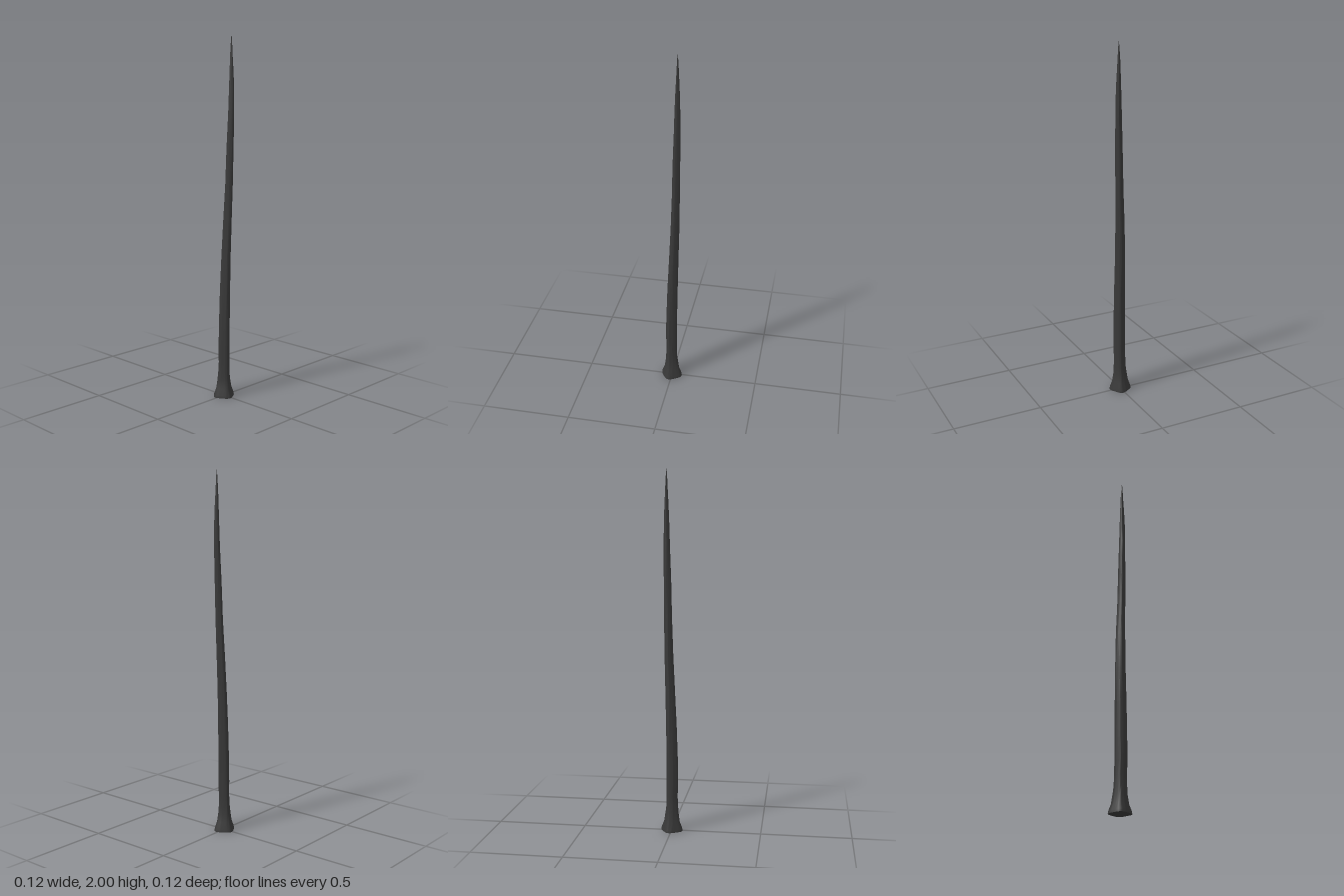
import * as THREE from 'three';
import { toCreasedNormals } from 'three/addons/utils/BufferGeometryUtils.js';

// Cross-sections from foot to tip: height, min x, max x, min z, max z
const SECTIONS = [
  [0, -0.063, 0.06, -0.061, 0.061],
  [0.015, -0.061, 0.058, -0.059, 0.059],
  [0.05, -0.047, 0.044, -0.046, 0.046],
  [0.1, -0.04, 0.036, -0.038, 0.038],
  [0.14, -0.037, 0.031, -0.033, 0.036],
  [0.2, -0.034, 0.03, -0.03, 0.035],
  [0.28, -0.037, 0.03, -0.029, 0.038],
  [0.4, -0.035, 0.03, -0.028, 0.037],
  [0.6, -0.028, 0.033, -0.026, 0.036],
  [0.8, -0.018, 0.037, -0.022, 0.034],
  [1.0, -0.008, 0.042, -0.016, 0.035],
  [1.2, 0.0, 0.045, -0.006, 0.038],
  [1.4, 0.005, 0.047, 0.0, 0.04],
  [1.6, 0.013, 0.048, 0.007, 0.042],
  [1.7, 0.016, 0.047, 0.01, 0.041],
  [1.8, 0.02, 0.044, 0.013, 0.037],
  [1.9, 0.025, 0.039, 0.016, 0.031],
  [1.96, 0.028, 0.036, 0.02, 0.028],
  [2.0, 0.031, 0.033, 0.023, 0.025],
];
const TWIST = 0.24; // angle of one corner from +x towards +z
const POWER = 3.8; // squareness of the section

// Radius of a rounded square, with its corner at 1
function squareRadius(angle) {
  const a = angle - TWIST + Math.PI / 4;
  const sum = Math.abs(Math.cos(a)) ** POWER + Math.abs(Math.sin(a)) ** POWER;
  return sum ** (-1 / POWER) / 2 ** (0.5 - 1 / POWER);
}

function shaftGeometry() {
  const last = SECTIONS.length - 1;
  const geometry = new THREE.CylinderGeometry(1, 1, last, 40, last);
  const p = geometry.attributes.position;
  // widest reach of the rotated section along an axis
  let reach = 0;
  for (let i = 0; i < 360; i++) {
    const a = (i * Math.PI) / 180;
    reach = Math.max(reach, squareRadius(a) * Math.cos(a));
  }
  for (let i = 0; i < p.count; i++) {
    const [y, x0, x1, z0, z1] = SECTIONS[Math.round(p.getY(i) + last / 2)];
    const angle = Math.atan2(p.getZ(i), p.getX(i));
    const r = (Math.hypot(p.getX(i), p.getZ(i)) * squareRadius(angle)) / reach;
    p.setXYZ(
      i,
      (x0 + x1) / 2 + (r * Math.cos(angle) * (x1 - x0)) / 2,
      y,
      (z0 + z1) / 2 + (r * Math.sin(angle) * (z1 - z0)) / 2
    );
  }
  return toCreasedNormals(geometry, 0.8);
}

export function createModel() {
  const model = new THREE.Group();
  model.name = 'spike';
  // Flared foot, leaning square shaft and pointed tip in one skin
  const material = new THREE.MeshStandardMaterial({ color: 0x383838 });
  const shaft = new THREE.Mesh(shaftGeometry(), material);
  shaft.name = 'shaft';
  model.add(shaft);
  return model;
}
